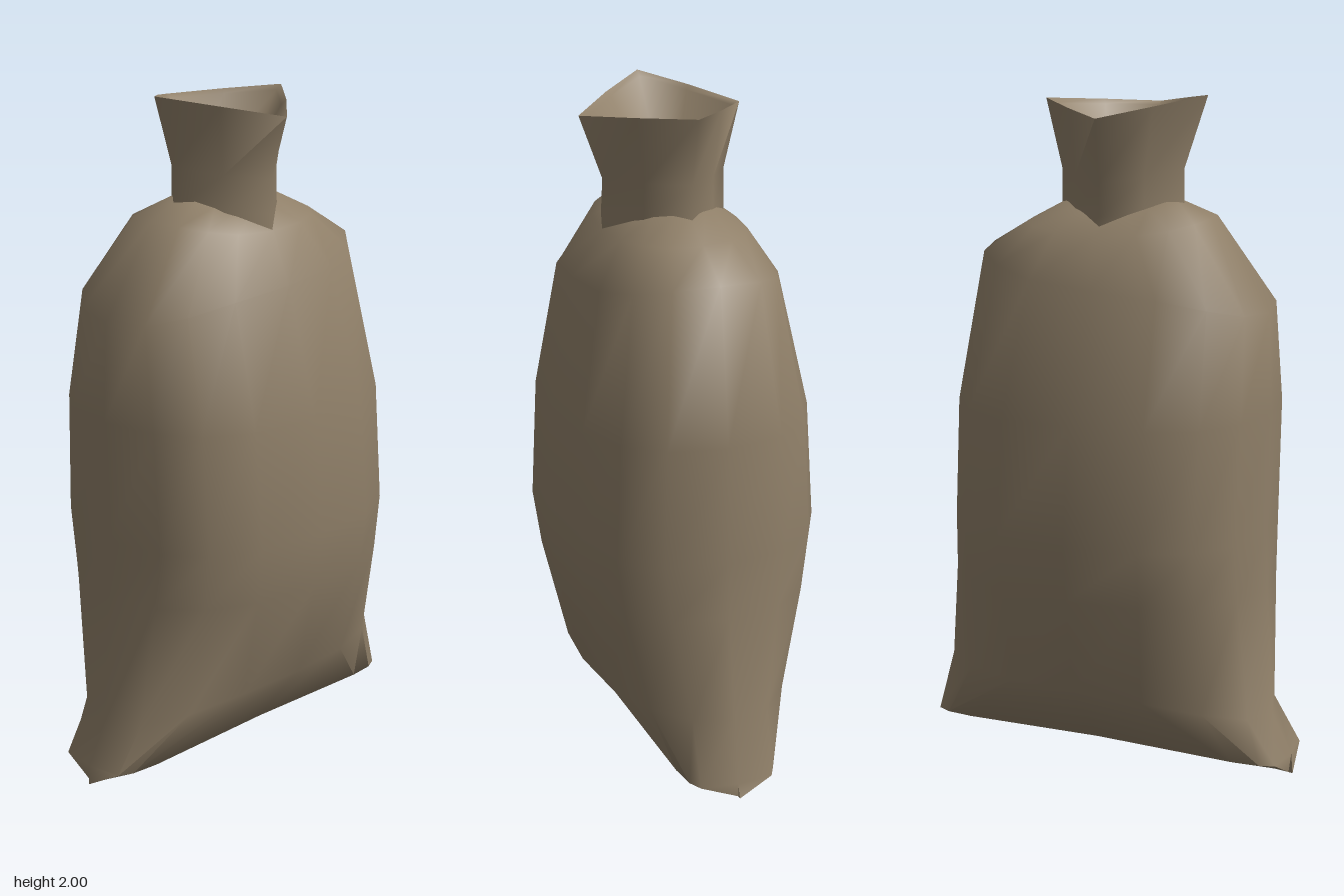
import * as THREE from 'three';
import { toCreasedNormals } from 'three/addons/utils/BufferGeometryUtils.js';

// Signed power used by the superellipse cross-sections
const spow = (v, p) => Math.sign(v) * Math.pow(Math.abs(v), p);

// Ring: xl/xr side reach, zf/zb front and back reach, yl/y/yr heights at
// left end, middle and right end, n = squareness, bend = how the height blends
function ringPoints({ xl, xr, zf, zb, yl, y, yr, n = 2.4, bend = 2 }, sides) {
  const pts = [];
  for (let j = 0; j < sides; j++) {
    const a = (j / sides) * Math.PI * 2;
    let c = Math.cos(a), s = Math.sin(a);
    if (Math.abs(c) < 1e-6) c = 0;
    if (Math.abs(s) < 1e-6) s = 0;
    const px = spow(c, 2 / n), pz = spow(s, 2 / n);
    const mid = (xl + xr) / 2, half = (xr - xl) / 2;
    const t = Math.pow(Math.abs(px), bend);
    pts.push(mid + px * half, y + ((px > 0 ? yr : yl) - y) * t, pz > 0 ? pz * zf : pz * zb);
  }
  return pts;
}

// Skin a stack of rings, ordered from the bottom up
function skin(rings, sides, crease) {
  const pos = rings.flatMap(r => ringPoints(r, sides));
  const index = [];
  for (let i = 0; i < rings.length - 1; i++) {
    for (let j = 0; j < sides; j++) {
      const k = (j + 1) % sides;
      const a = i * sides + j, b = i * sides + k;
      const c = a + sides, d = b + sides;
      index.push(a, c, b, b, c, d);
    }
  }
  const g = new THREE.BufferGeometry();
  g.setAttribute('position', new THREE.Float32BufferAttribute(pos, 3));
  g.setIndex(index);
  return toCreasedNormals(g, crease);
}

const ring = (xl, xr, zf, zb, yl, y, yr, n, bend) => ({ xl, xr, zf, zb, yl, y, yr, n, bend });

export function createModel() {
  const group = new THREE.Group();
  group.name = 'sack';
  const burlap = new THREE.MeshStandardMaterial({ color: 0x8f7f68, side: THREE.DoubleSide });
  burlap.name = 'burlap';

  const add = (name, geometry) => {
    const mesh = new THREE.Mesh(geometry, burlap);
    mesh.name = name;
    group.add(mesh);
  };

  // Filled body: bottom seam, flared corners, bulging middle, sloping shoulders
  add('sackBody', skin([
    ring(-0.575, 0.575, 0, 0, 0.0, 0.055, 0.035, 7, 1),
    ring(-0.57, 0.56, 0.145, 0.145, 0.06, 0.08, 0.075, 7, 1),
    ring(-0.51, 0.53, 0.29, 0.29, 0.18, 0.27, 0.27, 2.1),
    ring(-0.485, 0.48, 0.365, 0.365, 0.57, 0.57, 0.57),
    ring(-0.48, 0.47, 0.39, 0.39, 0.74, 0.74, 0.74, 2.5),
    ring(-0.49, 0.46, 0.368, 0.37, 1.1, 1.09, 1.09, 2.5),
    ring(-0.48, 0.39, 0.29, 0.29, 1.39, 1.47, 1.54),
    ring(-0.3, 0.26, 0.205, 0.205, 1.65, 1.61, 1.62),
    ring(-0.19, 0.15, 0.13, 0.13, 1.7, 1.66, 1.68, 2),
    ring(-0.02, -0.02, 0, 0, 1.69, 1.69, 1.69, 2),
  ], 16, 1.05));

  // Gathered neck: straight waist, flared diamond mouth and a hollow inside
  add('sackNeck', skin([
    ring(-0.215, 0.17, 0.2, 0.17, 1.58, 1.58, 1.58, 1.2),
    ring(-0.215, 0.17, 0.205, 0.17, 1.67, 1.66, 1.66, 1.2),
    ring(-0.215, 0.17, 0.2, 0.17, 1.79, 1.76, 1.77, 1.2),
    ring(-0.285, 0.22, 0.265, 0.22, 2.0, 1.945, 1.97, 1.06, 1),
    ring(-0.265, 0.2, 0.245, 0.2, 1.985, 1.935, 1.955, 1.06, 1),
    ring(-0.14, 0.1, 0.11, 0.1, 1.82, 1.8, 1.81, 1.2),
    ring(-0.02, -0.02, 0, 0, 1.76, 1.76, 1.76, 1.2),
  ], 8, 1.7));

  return group;
}
